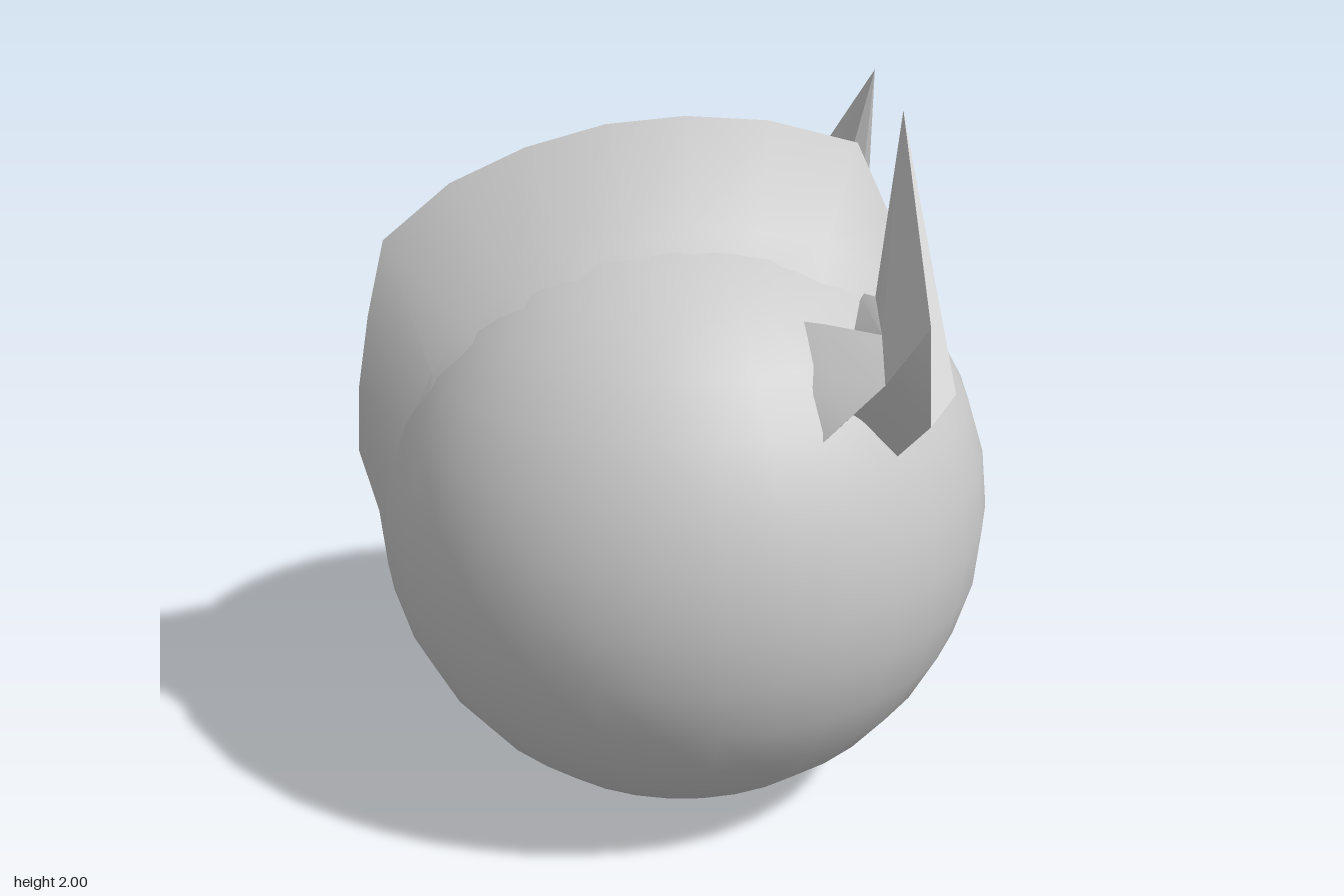
import * as THREE from 'three';
import { toCreasedNormals } from 'three/addons/utils/BufferGeometryUtils.js';

const CENTER = new THREE.Vector3(0.025, 0.848, 0);
const RADIUS = 0.844;
const material = new THREE.MeshStandardMaterial({ color: 0xcccccc, side: THREE.DoubleSide });

// Builds an indexed surface and keeps its edges sharp above the given angle
function surface(name, points, index, crease) {
  const geometry = new THREE.BufferGeometry().setFromPoints(points);
  geometry.setIndex(index);
  const mesh = new THREE.Mesh(toCreasedNormals(geometry, crease), material);
  mesh.name = name;
  return mesh;
}

function makeBody() {
  const body = new THREE.Mesh(new THREE.SphereGeometry(RADIUS, 32, 16), material);
  body.name = 'body';
  body.position.copy(CENTER);
  return body;
}

// Ridge over the body, lofted from cross-sections that fan around its centre
function makeCrest() {
  // ridge x, ridge y, in-plane radius of the +z foot, of the -z foot
  const sections = [
    [-0.81, 0.84, 0.82, 0.81], [-0.865, 1.04, 0.825, 0.82], [-0.855, 1.22, 0.825, 0.825],
    [-0.82, 1.43, 0.83, 0.84], [-0.77, 1.64, 0.835, 0.86], [-0.59, 1.79, 0.84, 0.87],
    [-0.39, 1.88, 0.843, 0.875], [-0.18, 1.935, 0.845, 0.88], [0.03, 1.95, 0.845, 0.88],
    [0.25, 1.93, 0.85, 0.88], [0.49, 1.86, 0.875, 0.87], [0.59, 1.64, 0.88, 0.85],
    [0.67, 1.37, 0.815, 0.82],
  ];
  const points = [];
  const index = [];
  sections.forEach(([x, y, front, back], i) => {
    const angle = Math.atan2(y - CENTER.y, x - CENTER.x);
    const at = (r, z) => new THREE.Vector3(
      CENTER.x + r * Math.cos(angle), CENTER.y + r * Math.sin(angle), z);
    points.push(at(0.77, 0.31), at(front, 0.165), new THREE.Vector3(x, y, 0.01),
      at(back, -0.18), at(0.77, -0.31));
    if (i === 0) return;
    for (let j = 0; j < 4; j++) {
      const b = i * 5 + j;
      const a = b - 5;
      index.push(a, b, b + 1, a, b + 1, a + 1);
    }
  });
  return surface('crest', points, index, 0.7);
}

// Pointed ear blade with a small flap behind it and a skirt into the body
function makeEar() {
  const corners = {
    tip: [0.57, 2.0, 0.19], outer: [0.54, 1.62, 0.74], low: [0.57, 1.32, 0.66],
    front: [0.645, 1.38, 0.6], inner: [0.57, 1.495, 0.36], innerBack: [0.49, 1.54, 0.31],
    back: [0.46, 1.53, 0.55], flapIn: [0.33, 1.53, 0.46], flapOut: [0.33, 1.43, 0.58],
    fold: [0.35, 1.35, 0.67], heel: [0.45, 1.44, 0.66],
  };
  const names = Object.keys(corners);
  const id = (name) => names.indexOf(name);
  const points = names.map((n) => new THREE.Vector3(...corners[n]));
  const index = [];
  const face = (...list) => {
    for (let k = 1; k < list.length - 1; k++) index.push(id(list[0]), id(list[k]), id(list[k + 1]));
  };

  // Blade sides around the tip
  const ring = ['outer', 'low', 'front', 'inner', 'innerBack', 'back', 'heel'];
  ring.forEach((n, i) => face('tip', n, ring[(i + 1) % ring.length]));
  // Underside and flap
  face('low', 'outer', 'heel');
  face('heel', 'back', 'flapIn', 'flapOut');
  face('flapOut', 'fold', 'heel');

  // Skirt from the lower outline to the body
  const rim = ['low', 'front', 'inner', 'innerBack', 'back', 'flapIn', 'flapOut', 'fold', 'heel'];
  const middle = new THREE.Vector3(0.46, 1.43, 0.52);
  const start = points.length;
  rim.forEach((n) => {
    const p = points[id(n)];
    const foot = p.clone().sub(CENTER).addScaledVector(p.clone().sub(middle), 0.35);
    points.push(foot.setLength(RADIUS - 0.015).add(CENTER));
  });
  rim.forEach((n, i) => {
    const k = (i + 1) % rim.length;
    const a = id(n);
    const b = id(rim[k]);
    index.push(b, a, start + i, b, start + i, start + k);
  });
  return surface('ear', points, index, 0.5);
}

export function createModel() {
  const model = new THREE.Group();
  model.name = 'crestedBall';
  const leftEar = makeEar();
  leftEar.name = 'earFrontSide';
  const rightEar = makeEar();
  rightEar.name = 'earBackSide';
  rightEar.scale.z = -1;
  model.add(makeBody(), makeCrest(), leftEar, rightEar);
  return model;
}
